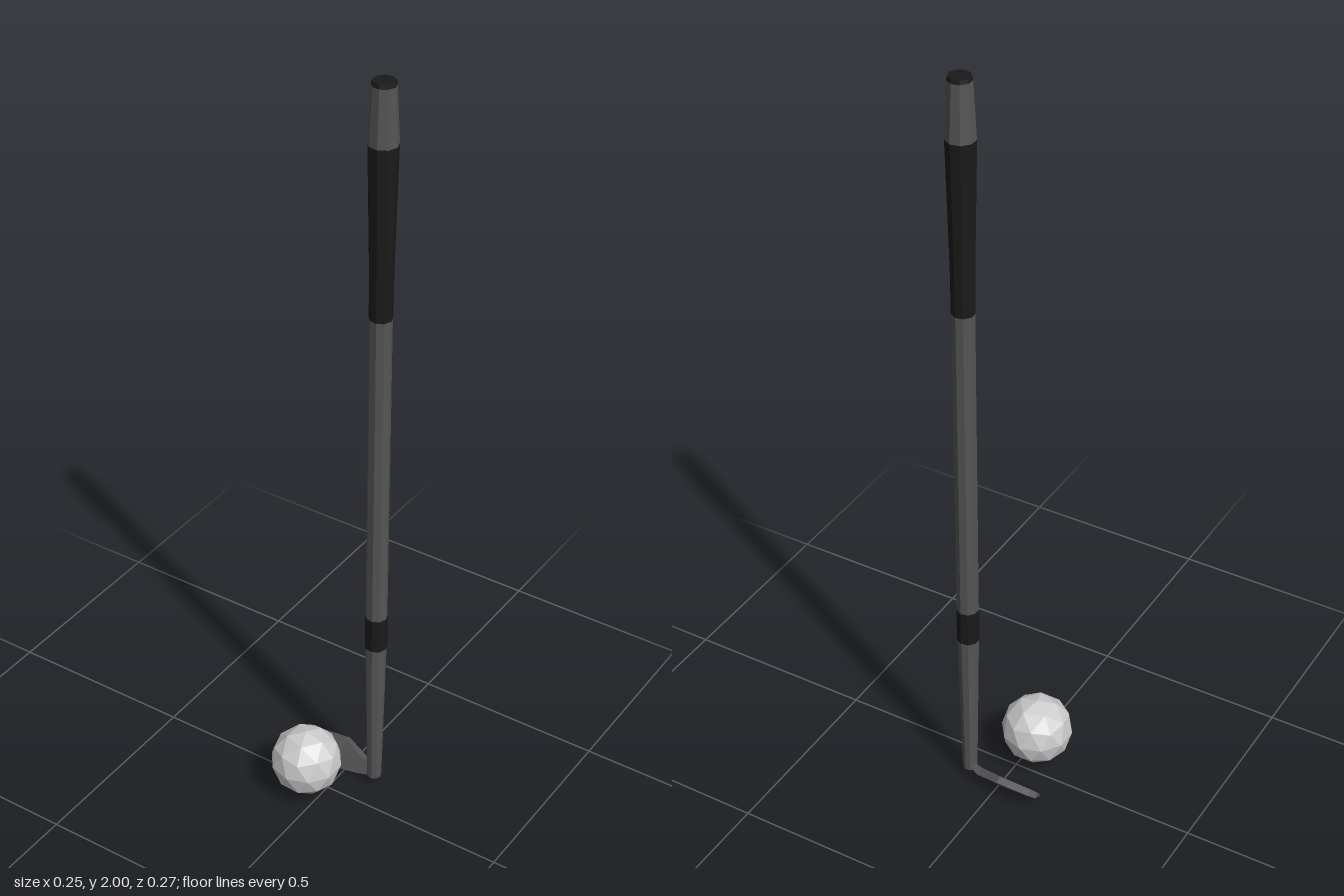
import * as THREE from 'three';

const mat = (name, color) => new THREE.MeshStandardMaterial({ name, color, flatShading: true });

export function createModel() {
  const steel = mat('steel grey', 0x555555);
  const rubber = mat('black rubber', 0x1a1a1a);
  const white = mat('ball white', 0xcccccc);
  const group = new THREE.Group();
  const add = (name, geometry, material, parent = group) => {
    const mesh = new THREE.Mesh(geometry, material);
    mesh.name = name;
    parent.add(mesh);
    return mesh;
  };

  // Club stick: stacked nine-sided sections [name, bottom y, top y, bottom radius, top radius, material]
  const stick = new THREE.Group();
  stick.name = 'stick';
  stick.position.set(0.088, 0, -0.086);
  group.add(stick);
  const sections = [
    ['hosel', 0.025, 0.455, 0.019, 0.027, steel],
    ['ferrule', 0.455, 0.55, 0.0285, 0.0285, rubber],
    ['shaft', 0.55, 1.41, 0.0275, 0.0275, steel],
    ['gripLower', 1.41, 1.53, 0.0285, 0.029, rubber],
    ['gripUpper', 1.53, 1.85, 0.029, 0.036, rubber],
    ['gripEnd', 1.85, 1.99, 0.036, 0.029, steel],
    ['gripCap', 1.99, 2, 0.029, 0.027, rubber],
  ];
  for (const [name, y0, y1, r0, r1, material] of sections) {
    const g = new THREE.CylinderGeometry(r1, r0, y1 - y0, 9, 1, false, Math.PI / 2);
    add(name, g, material, stick).position.y = (y0 + y1) / 2;
  }

  // Club head: lofted blade through four-corner sections from toe to hosel
  // [x, face bottom y, z, face top y, z, thickness]
  const blade = [
    [-0.124, 0.026, -0.09, 0.044, -0.104, 0.014],
    [-0.11, 0.005, -0.076, 0.06, -0.117, 0.017],
    [-0.022, 0, -0.076, 0.067, -0.121, 0.018],
    [0.045, 0.013, -0.076, 0.047, -0.098, 0.022],
    [0.085, 0.026, -0.077, 0.046, -0.088, 0.012],
  ];
  const points = [];
  const index = [];
  for (const [x, y0, z0, y1, z1, t] of blade) {
    points.push(x, y0, z0, x, y1, z1, x, y1 - 0.008, z1 - t, x, y0 + 0.003, z0 - t);
  }
  for (let i = 0; i < blade.length - 1; i++) {
    for (let j = 0; j < 4; j++) {
      const a = i * 4 + j, b = i * 4 + (j + 1) % 4;
      index.push(a, a + 4, b + 4, a, b + 4, b);
    }
  }
  const e = (blade.length - 1) * 4;
  index.push(0, 1, 2, 0, 2, 3, e, e + 3, e + 2, e, e + 2, e + 1);
  const headGeometry = new THREE.BufferGeometry();
  headGeometry.setAttribute('position', new THREE.Float32BufferAttribute(points, 3));
  headGeometry.setIndex(index);
  headGeometry.computeVertexNormals();
  add('clubHead', headGeometry, steel);

  // Faceted ball, turned so that one corner points straight up
  const ballGeometry = new THREE.IcosahedronGeometry(0.0925, 1);
  ballGeometry.rotateZ(Math.atan2(1, (1 + Math.sqrt(5)) / 2));
  ballGeometry.rotateY(Math.PI);
  add('ball', ballGeometry, white).position.set(-0.037, 0.112, 0.043);

  return group;
}
